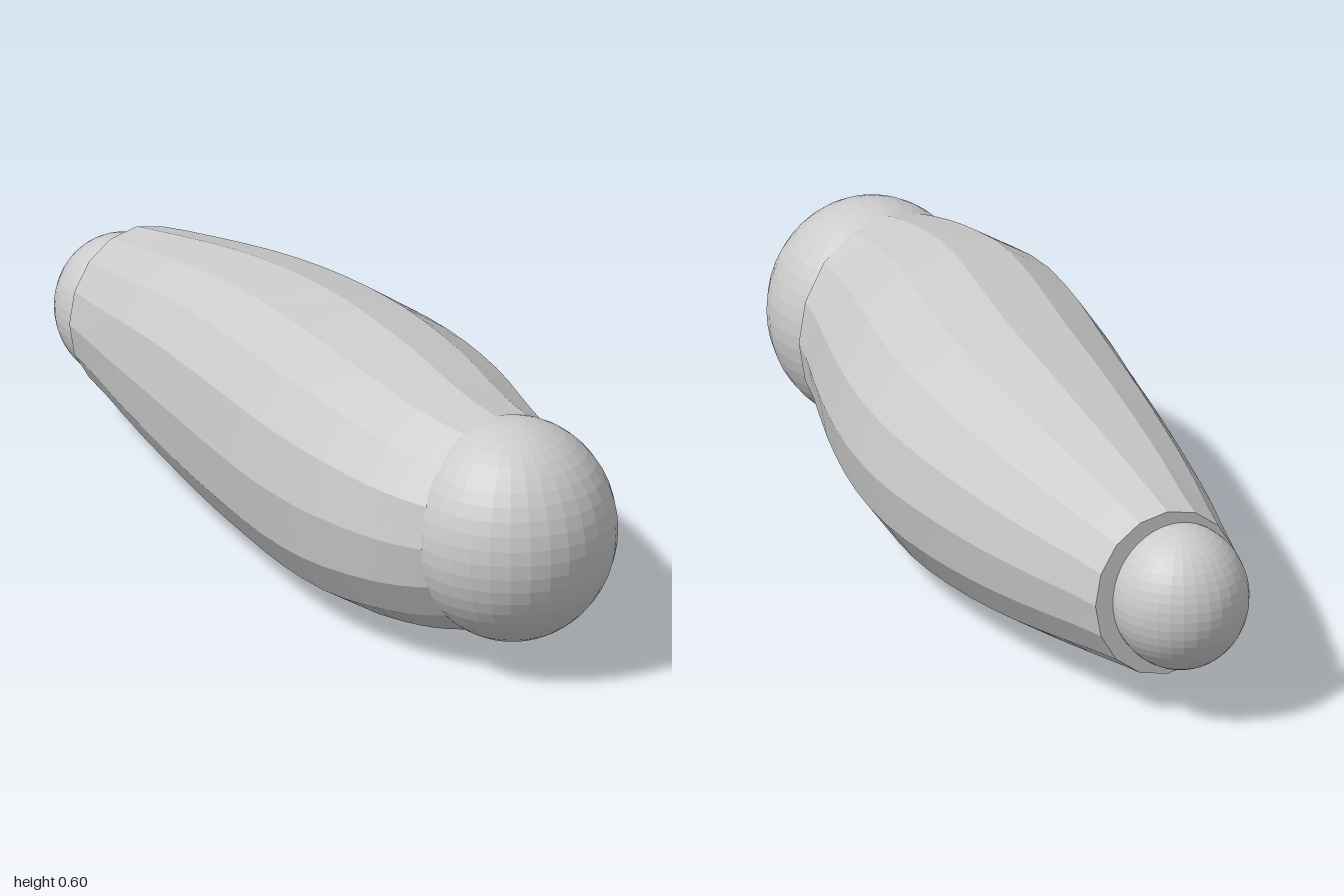
import * as THREE from 'three';

const material = new THREE.MeshStandardMaterial({ color: 0xcccccc, flatShading: true });
const SIDES = 16;
const ROWS = 20;

// Body stations from back to front: z, min x, max x, min y, max y, end tilt
const STATIONS = [
  [-0.82, -0.14, 0.205, 0.09, 0.47, 0],
  [-0.6, -0.187, 0.26, 0.06, 0.515, 0],
  [-0.4, -0.222, 0.30, 0.032, 0.55, 0],
  [-0.2, -0.257, 0.325, 0.01, 0.575, 0],
  [0, -0.29, 0.335, 0, 0.59, 0],
  [0.2, -0.323, 0.318, 0.003, 0.60, 0],
  [0.4, -0.336, 0.277, 0.015, 0.602, -0.02],
  [0.56, -0.315, 0.235, 0.038, 0.583, -0.08],
  [0.65, -0.285, 0.213, 0.055, 0.569, -0.16],
  [0.72, -0.248, 0.2, 0.072, 0.556, -0.21],
];
// Lip tucked inside the front joint
const LIP = [0.75, -0.225, 0.175, 0.1, 0.53, -0.21];

// Station at t = 0..1 along the body, smoothly interpolated
function stationAt(t) {
  const f = t * (STATIONS.length - 1);
  const k = Math.min(Math.floor(f), STATIONS.length - 2);
  const row = (n) => STATIONS[THREE.MathUtils.clamp(n, 0, STATIONS.length - 1)];
  const u = f - k;
  return row(k).map((p1, c) => {
    const p0 = row(k - 1)[c], p2 = row(k + 1)[c], p3 = row(k + 2)[c];
    return p1 + 0.5 * u * (p2 - p0 + u * (2 * p0 - 5 * p1 + 4 * p2 - p3 + u * (3 * (p1 - p2) + p3 - p0)));
  });
}

// Lofted shell through the oval stations, closed at both ends
function loft(stations) {
  const positions = [];
  const index = [];
  for (const [z, x0, x1, y0, y1, tilt] of stations) {
    const cx = (x0 + x1) / 2, cy = (y0 + y1) / 2;
    // the right flank is fuller and the left one sags, fading out at the ends
    const middle = 1 - Math.min(1, Math.abs(z / 0.72)) ** 4;
    for (let i = 0; i < SIDES; i++) {
      const a = (i / SIDES) * Math.PI * 2;
      const c = Math.cos(a), s = Math.sin(a);
      const power = c < 0 ? 1 - 0.12 * middle : 1;
      const dx = Math.sign(c) * Math.abs(c) ** power * (x1 - x0) / 2;
      const dy = Math.sign(s) * Math.abs(s) ** power * (y1 - y0) / 2;
      positions.push(cx + dx, cy + dy - 0.012 * middle * Math.max(0, c), z + tilt * dx);
    }
  }
  const last = (stations.length - 1) * SIDES;
  const back = positions.length / 3, front = back + 1;
  for (const [z, x0, x1, y0, y1] of [stations[0], stations[stations.length - 1]]) {
    positions.push((x0 + x1) / 2, (y0 + y1) / 2, z);
  }
  for (let i = 0; i < SIDES; i++) {
    const j = (i + 1) % SIDES;
    for (let k = 0; k < last; k += SIDES) {
      const a = k + i, b = k + j, c = b + SIDES, d = a + SIDES;
      index.push(a, b, d, b, c, d);
    }
    index.push(back, j, i, front, last + i, last + j);
  }
  const geometry = new THREE.BufferGeometry();
  geometry.setAttribute('position', new THREE.Float32BufferAttribute(positions, 3));
  geometry.setIndex(index);
  geometry.computeVertexNormals();
  return geometry;
}

function ball(name, center, radii) {
  const mesh = new THREE.Mesh(new THREE.SphereGeometry(1, 32, 24), material);
  mesh.name = name;
  mesh.position.set(...center);
  mesh.scale.set(...radii);
  return mesh;
}

export function createModel() {
  const group = new THREE.Group();
  group.name = 'limbSegment';

  const rows = Array.from({ length: ROWS + 1 }, (_, i) => stationAt(i / ROWS));
  const body = new THREE.Mesh(loft([...rows, LIP]), material);
  body.name = 'taperedBody';
  group.add(body);

  // Rounded joints at both ends
  group.add(ball('frontJoint', [-0.022, 0.318, 0.77], [0.228, 0.248, 0.23]));
  group.add(ball('backJoint', [0.016, 0.28, -0.845], [0.15, 0.162, 0.155]));
  return group;
}
